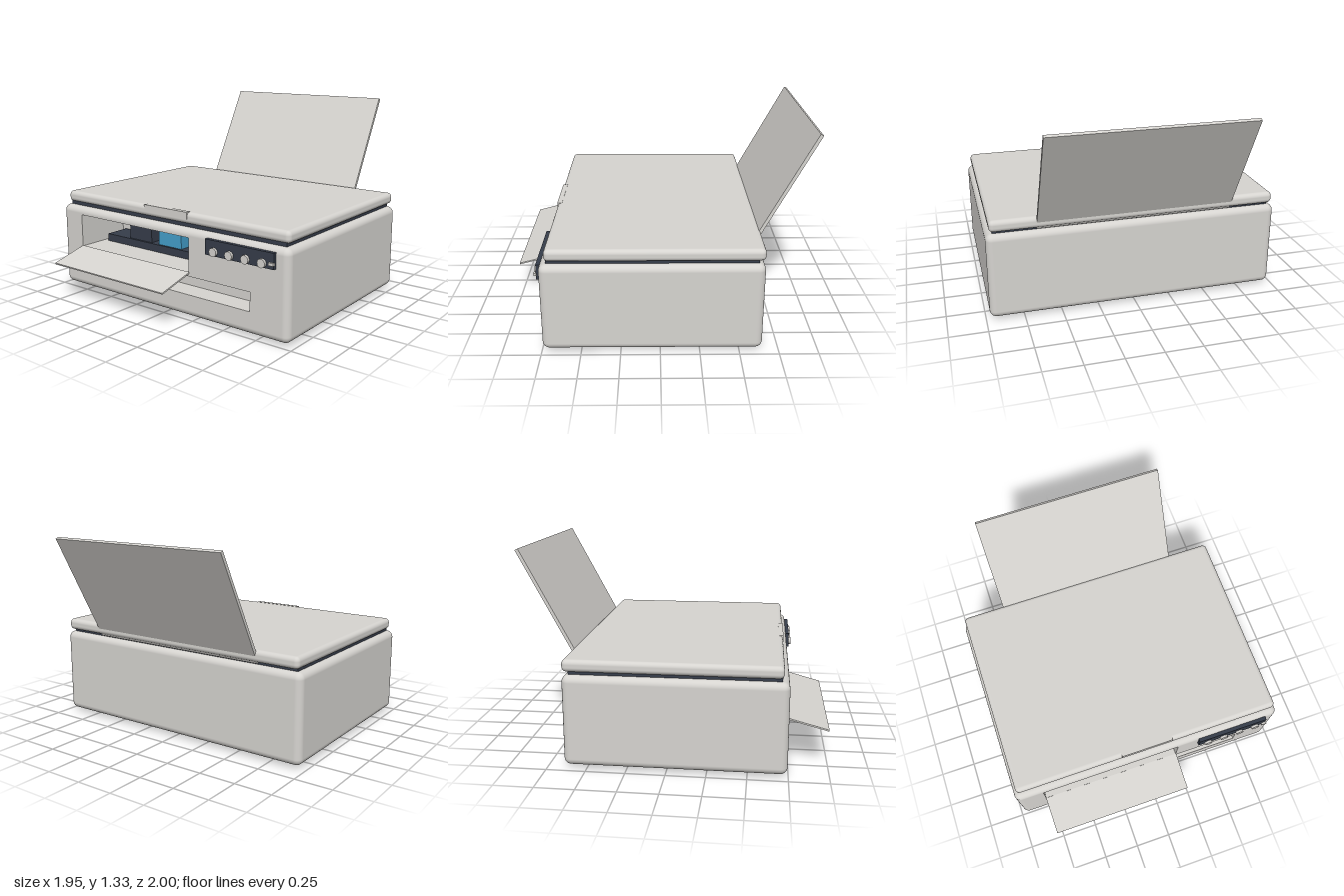
import * as THREE from 'three';
import { RoundedBoxGeometry } from 'three/addons/geometries/RoundedBoxGeometry.js';

const material = (name, color) => {
  const m = new THREE.MeshStandardMaterial({ color });
  m.name = name;
  return m;
};

// Geometry spanning [min, max] on every axis
const span = (a, b, make) => make(b[0] - a[0], b[1] - a[1], b[2] - a[2])
  .translate((a[0] + b[0]) / 2, (a[1] + b[1]) / 2, (a[2] + b[2]) / 2);
const box = (a, b) => span(a, b, (w, h, d) => new THREE.BoxGeometry(w, h, d));
const rounded = (a, b, r) => span(a, b, (w, h, d) => new RoundedBoxGeometry(w, h, d, 4, r));

// Rounded shell without its flat front cell
function openFront(geo, frontZ) {
  const p = geo.attributes.position, keep = [];
  for (let i = 0; i < p.count; i += 3) {
    const flat = [0, 1, 2].every(k => Math.abs(p.getZ(i + k) - frontZ) < 1e-5);
    if (!flat) keep.push(i, i + 1, i + 2);
  }
  geo.setIndex(keep);
  geo.clearGroups();
  return geo;
}

// Inward-facing box, open to the front
function recess({ x0, x1, y0, y1, depth }, frontZ) {
  const geo = box([x0, y0, frontZ - depth], [x1, y1, frontZ]);
  const idx = Array.from(geo.index.array);
  idx.splice(24, 6);
  geo.setIndex(idx.reverse());
  geo.clearGroups();
  geo.computeVertexNormals();
  return geo;
}

const rectPoints = (x0, x1, y0, y1) => [
  new THREE.Vector2(x0, y0), new THREE.Vector2(x1, y0),
  new THREE.Vector2(x1, y1), new THREE.Vector2(x0, y1)];

// Slanted plate running between two (z, y) points
function slab(x0, x1, from, to, thickness) {
  const dz = to[0] - from[0], dy = to[1] - from[1];
  return new THREE.BoxGeometry(x1 - x0, thickness, Math.hypot(dz, dy))
    .rotateX(-Math.atan2(dy, dz))
    .translate((x0 + x1) / 2, (from[1] + to[1]) / 2, (from[0] + to[0]) / 2);
}

export function createModel() {
  const casing = material('casing grey', 0xd6d4d0);
  const dark = material('dark slate', 0x363d4a);
  const blue = material('cartridge blue', 0x449fcb);

  const group = new THREE.Group();
  group.name = 'printer';
  const add = (name, geo, mat) => {
    const mesh = new THREE.Mesh(geo, mat);
    mesh.name = name;
    group.add(mesh);
    return mesh;
  };

  // Body shell with a front panel cut by two openings
  const F = 0.745, r = 0.045;
  add('bodyShell', openFront(rounded([-0.975, 0.02, -0.645], [0.975, 0.605, F], r), F), casing);
  const openings = {
    cartridgeBay: { x0: -0.78, x1: 0.22, y0: 0.32, y1: 0.55, depth: 0.4 },
    paperSlot: { x0: -0.7, x1: 0.7, y0: 0.17, y1: 0.295, depth: 0.15 },
  };
  const front = new THREE.Shape(rectPoints(-0.975 + r, 0.975 - r, 0.02 + r, 0.605 - r));
  for (const [name, o] of Object.entries(openings)) {
    front.holes.push(new THREE.Path(rectPoints(o.x0, o.x1, o.y0, o.y1)));
    add(name, recess(o, F), casing);
  }
  add('frontPanel', new THREE.ShapeGeometry(front).translate(0, 0, F), casing);

  // Carriage and ink cartridges inside the bay
  add('carriageRail', box([-0.735, 0.322, 0.36], [0.18, 0.375, 0.54]), dark);
  add('blackCartridge', box([-0.52, 0.37, 0.36], [-0.31, 0.532, 0.525]), dark);
  add('blueCartridge', box([-0.24, 0.37, 0.36], [-0.035, 0.532, 0.525]), blue);

  // Scanner lid, seal and finger grip
  add('lidSeal', box([-0.93, 0.595, -0.605], [0.93, 0.635, 0.7]), dark);
  add('lid', rounded([-0.952, 0.622, -0.645], [0.952, 0.7, 0.71], 0.03), casing);
  add('lidGrip', box([-0.19, 0.657, 0.68], [0.18, 0.702, 0.713]), casing);

  // Folding output tray and rear paper support
  add('outputTray', slab(-0.782, 0.224, [0.742, 0.319], [0.998, 0.251], 0.01), casing);
  add('paperSupport', slab(-0.655, 0.652, [-0.606, 0.615], [-0.989, 1.329], 0.022), casing);

  // Control panel with knobs and a small button
  add('controlPanel', box([0.375, 0.475, F - 0.005], [0.885, 0.575, 0.768]), dark);
  for (const x of [0.445, 0.565, 0.685, 0.805]) {
    const knob = new THREE.CylinderGeometry(0.028, 0.028, 0.022, 12).rotateX(Math.PI / 2);
    add('knob', knob.translate(x, 0.503, 0.774), casing);
  }
  add('smallButton', box([0.855, 0.5, 0.765], [0.89, 0.518, 0.783]), casing);

  // Feet
  for (const x of [-0.835, 0.835]) for (const z of [-0.51, 0.615]) {
    add('foot', new THREE.CylinderGeometry(0.04, 0.04, 0.03, 20).translate(x, 0.015, z), dark);
  }
  return group;
}
